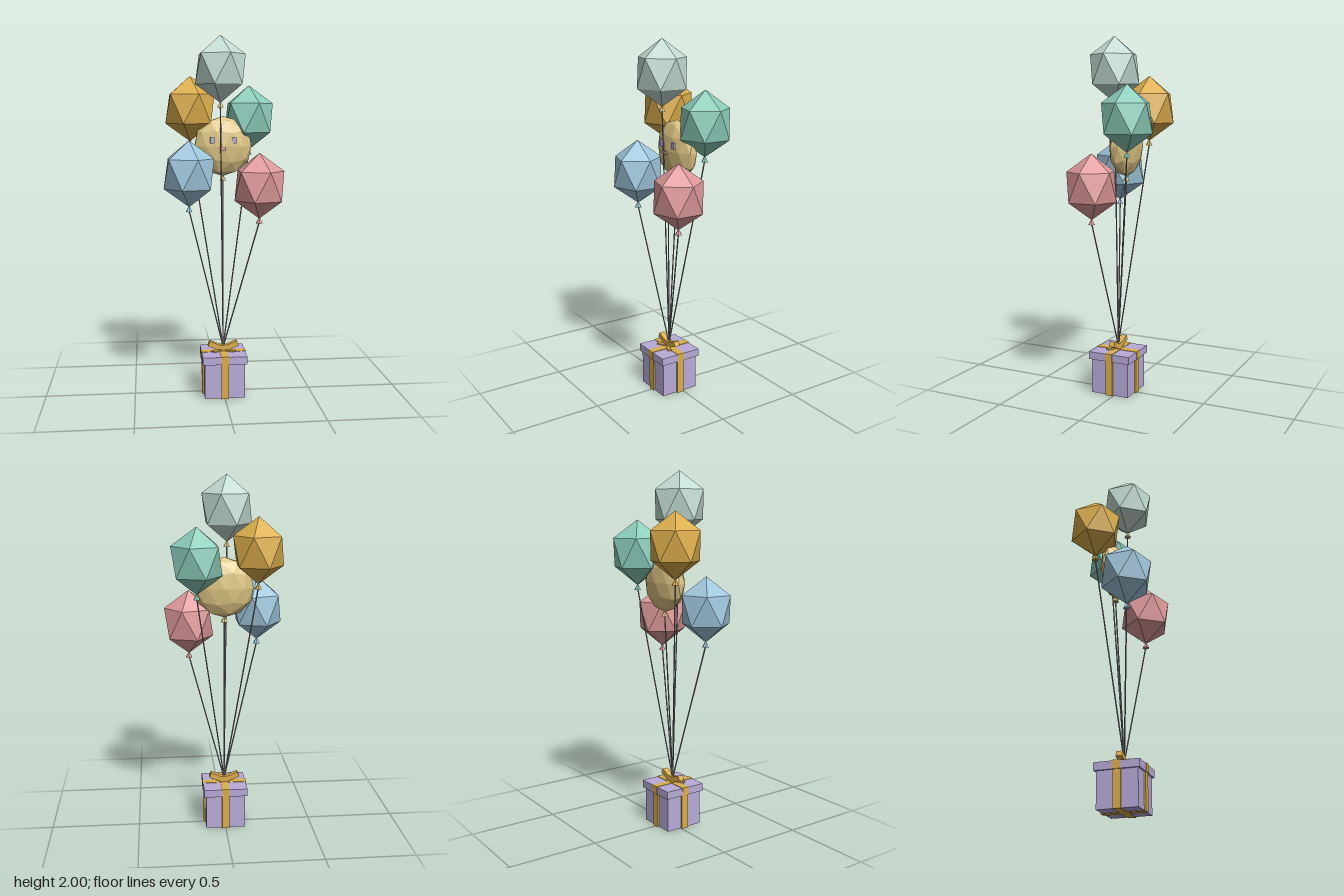
import * as THREE from 'three';

const mat = (name, color) => {
  const m = new THREE.MeshStandardMaterial({ color, flatShading: true });
  m.name = name;
  return m;
};

export function createModel() {
  const root = new THREE.Group();
  root.name = 'balloonGift';

  const gold = mat('gold', 0xdcae4c);
  const mist = mat('mist', 0xc3dcd4);
  const green = mat('green', 0x8ccdbb);
  const pink = mat('pink', 0xe09a9b);
  const blue = mat('blue', 0x9fc6dc);
  const tan = mat('tan', 0xdcc483);
  const lilac = mat('lilac', 0xb8abd8);
  const grey = mat('stringGrey', 0x88848a);

  const add = (parent, name, geo, material, x = 0, y = 0, z = 0) => {
    const mesh = new THREE.Mesh(geo, material);
    mesh.name = name;
    mesh.position.set(x, y, z);
    parent.add(mesh);
    return mesh;
  };
  const box = (w, h, d) => new THREE.BoxGeometry(w, h, d);

  // Icosahedron standing on one corner, stretched to the given radii
  const tilt = -Math.atan(2 / (1 + Math.sqrt(5)));
  const ico = (detail, rx, ry, rz) =>
    new THREE.IcosahedronGeometry(1, detail).rotateZ(tilt).scale(rx, ry, rz);

  // Strings run from each knot to the bow
  const tie = new THREE.Vector3(0, 0.265, 0.022);
  const addString = (parent, x, y, z) => {
    const end = new THREE.Vector3(x, y, z);
    const dir = end.clone().sub(tie);
    const mid = end.clone().add(tie).multiplyScalar(0.5);
    const s = add(parent, 'string', new THREE.CylinderGeometry(0.004, 0.004, dir.length(), 6), grey, mid.x, mid.y, mid.z);
    s.quaternion.setFromUnitVectors(new THREE.Vector3(0, 1, 0), dir.normalize());
  };

  const addBalloon = (name, geo, ry, material, knotMaterial, x, y, z) => {
    const g = new THREE.Group();
    g.name = name;
    root.add(g);
    add(g, 'balloonBody', geo, material, x, y, z);
    add(g, 'knot', new THREE.ConeGeometry(0.02, 0.036, 6), knotMaterial, x, y - ry - 0.008, z);
    addString(g, x, y - ry - 0.02, z);
    return g;
  };

  // Five plain balloons
  const plain = ico(0, 0.153, 0.18, 0.153);
  [
    ['topBalloon', mist, tan, -0.018, 1.817, 0.052],
    ['goldBalloon', gold, gold, -0.175, 1.605, -0.088],
    ['greenBalloon', green, green, 0.157, 1.555, -0.106],
    ['blueBalloon', blue, blue, -0.193, 1.258, 0.104],
    ['pinkBalloon', pink, pink, 0.193, 1.188, 0.087],
  ].forEach(([name, m, knot, x, y, z]) => addBalloon(name, plain, 0.18, m, knot, x, y, z));

  // Flattened balloon with a face
  const face = addBalloon('faceBalloon', ico(1, 0.165, 0.165, 0.07), 0.165, tan, tan, 0.003, 1.4, -0.03);
  for (const side of [-1, 1]) {
    add(face, 'eye', box(0.022, 0.036, 0.02), lilac, side * 0.061, 1.435, 0.03);
    const ear = add(face, 'ear', new THREE.ConeGeometry(0.02, 0.04, 5), gold, side * 0.078, 1.535, -0.03);
    ear.rotation.z = -side * 0.5;
  }
  add(face, 'nose', box(0.024, 0.018, 0.02), pink, 0, 1.39, 0.037);

  // Gift box
  const gift = new THREE.Group();
  gift.name = 'gift';
  gift.position.z = 0.022;
  root.add(gift);
  add(gift, 'giftBox', box(0.224, 0.204, 0.224), lilac, 0, 0.104, 0);
  add(gift, 'lid', box(0.248, 0.043, 0.248), lilac, 0, 0.2205, 0);

  // Crossed ribbons wrapping the box and the lid
  for (const angle of [0, Math.PI / 2]) {
    add(gift, 'boxRibbon', box(0.042, 0.203, 0.242), gold, 0, 0.1015, 0).rotation.y = angle;
    add(gift, 'lidRibbon', box(0.042, 0.046, 0.254), gold, 0, 0.2215, 0).rotation.y = angle;
  }

  // Bow
  add(gift, 'bowKnot', box(0.034, 0.034, 0.034), gold, 0, 0.262, 0);
  for (const side of [-1, 1]) {
    const loop = add(gift, 'bowLoop', box(0.078, 0.03, 0.034), gold, side * 0.046, 0.274, 0);
    loop.rotation.z = side * 0.4;
    const tail = add(gift, 'bowTail', box(0.06, 0.008, 0.024), gold, side * 0.035, 0.25, 0.024);
    tail.rotation.y = -side * 0.5;
  }

  return root;
}
